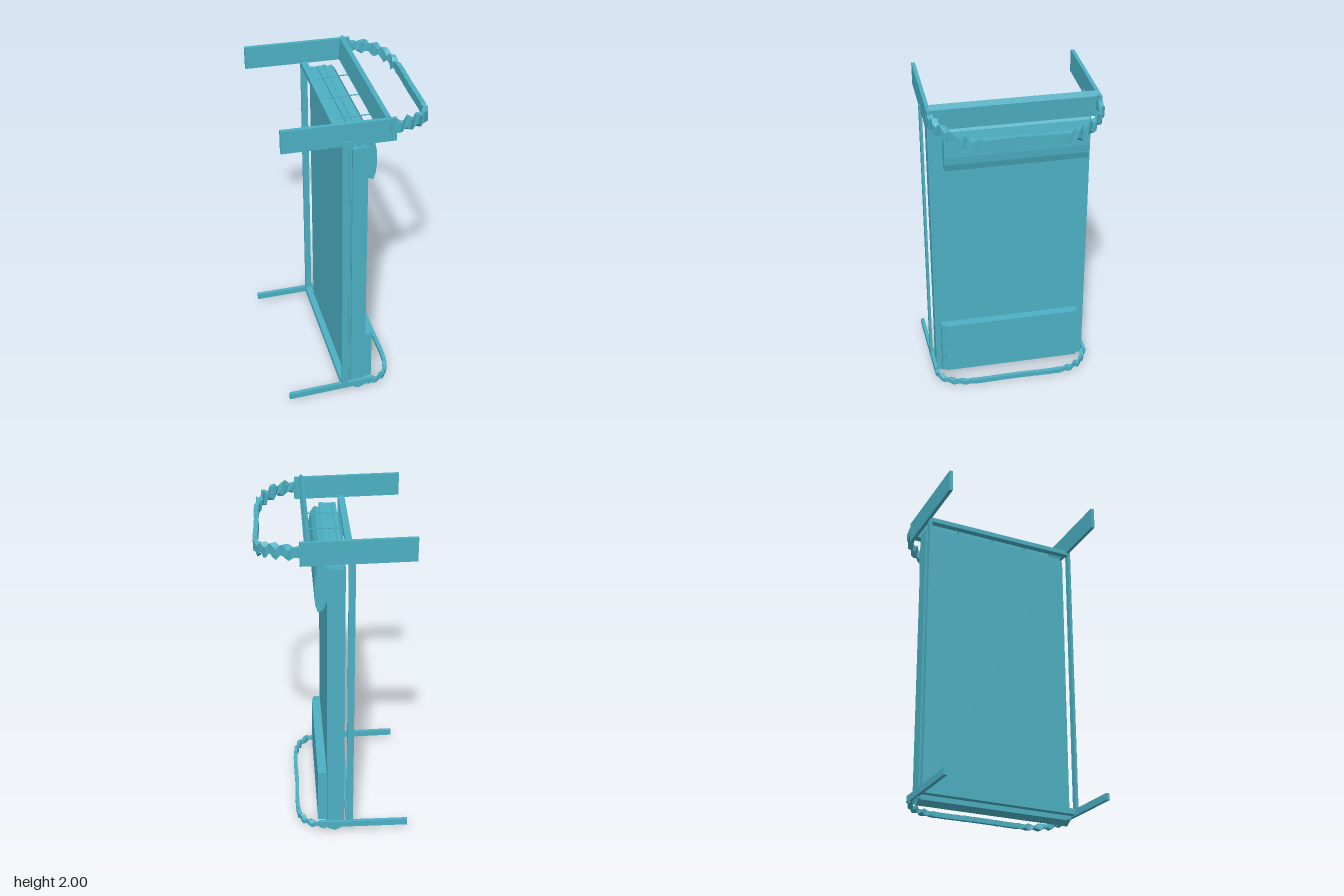
import * as THREE from 'three';

export function createModel() {
  const bed = new THREE.Group();
  bed.name = 'foldedBed';
  const teal = new THREE.MeshStandardMaterial({ color: 0x4cb0c3, flatShading: true, side: THREE.DoubleSide });
  teal.name = 'teal';

  const add = (name, geometry) => {
    const mesh = new THREE.Mesh(geometry, teal);
    mesh.name = name;
    bed.add(mesh);
    return mesh;
  };

  // Box given by its lower and upper limits on each axis
  const box = (name, x0, x1, y0, y1, z0, z1) => {
    const g = new THREE.BoxGeometry(x1 - x0, y1 - y0, z1 - z0);
    g.translate((x0 + x1) / 2, (y0 + y1) / 2, (z0 + z1) / 2);
    return add(name, g);
  };

  // Profile in x and y, extruded along z
  const prism = (name, points, z0, z1) => {
    const shape = new THREE.Shape(points.map(([x, y]) => new THREE.Vector2(x, y)));
    const g = new THREE.ExtrudeGeometry(shape, { depth: z1 - z0, bevelEnabled: false });
    g.translate(0, 0, z0);
    return add(name, g);
  };

  // Flat bar swept along a path, with a crumpled surface in the bends
  const bentBar = (name, points, width, height, crumple) => {
    const curve = new THREE.CatmullRomCurve3(points.map(p => new THREE.Vector3(...p)), false, 'centripetal');
    const n = 56, pos = [], index = [];
    for (let i = 0; i <= n; i++) {
      const p = curve.getPointAt(i / n), t = curve.getTangentAt(i / n);
      const side = new THREE.Vector3(t.z, 0, -t.x).normalize();
      const bend = Math.min(1, 4 * Math.abs(side.x * side.z)) * crumple;
      [[-1, -1], [1, -1], [1, 1], [-1, 1]].forEach(([a, b], k) => {
        const w = a * width / 2 + bend * 0.3 * Math.sin(i * 2.3 + k * 1.7);
        const h = b * height / 2 + bend * Math.sin(i * 1.9 + k * 2.1);
        pos.push(p.x + side.x * w, p.y + h, p.z + side.z * w);
      });
      if (i < n) for (let k = 0; k < 4; k++) {
        const a = i * 4 + k, b = i * 4 + (k + 1) % 4;
        index.push(a, b, a + 4, b, b + 4, a + 4);
      }
    }
    index.push(0, 2, 1, 0, 3, 2, n * 4, n * 4 + 1, n * 4 + 2, n * 4, n * 4 + 2, n * 4 + 3);
    const g = new THREE.BufferGeometry();
    g.setAttribute('position', new THREE.Float32BufferAttribute(pos, 3));
    g.setIndex(index);
    g.computeVertexNormals();
    return add(name, g);
  };

  // Layered mattress panel
  const layers = [
    [-0.055, -0.03, 1.82, -0.49, 0.455], [-0.03, -0.01, 1.81, -0.5, 0.465],
    [-0.01, 0.01, 1.82, -0.49, 0.455], [0.01, 0.03, 1.815, -0.5, 0.465],
    [0.03, 0.05, 1.82, -0.495, 0.46],
  ];
  layers.forEach(([x0, x1, top, z0, z1]) => box('mattressLayer', x0, x1, 0.02, top, z0, z1));
  [-0.504, 0.46].forEach(z => box('mattressEdge', -0.045, 0.045, 0.03, 1.81, z, z + 0.015));

  // Pillow and foot pad
  prism('pillow', [[0.05, 1.6], [0.07, 1.55], [0.1, 1.535], [0.115, 1.58], [0.12, 1.63],
    [0.118, 1.73], [0.105, 1.79], [0.08, 1.825], [0.05, 1.815]], -0.48, 0.39);
  box('footPad', 0.05, 0.105, 0.05, 0.405, -0.45, 0.415);
  box('footPadEdge', 0.05, 0.095, 0.05, 0.41, 0.415, 0.44);

  // Rear frame: two posts and two crossbars
  [-0.505, 0.485].forEach(z => box('framePost', -0.11, -0.07, 0.05, 1.88, z, z + 0.016));
  box('frameTopBar', -0.11, -0.07, 1.83, 1.86, -0.5, 0.485);
  box('frameBottomBar', -0.11, -0.07, 0.045, 0.08, -0.5, 0.485);

  // Thin slats under the upper rail
  [-0.275, -0.03, 0.205].forEach(z => box('slat', -0.1, 0.14, 1.85, 1.856, z - 0.002, z + 0.002));

  // Upper rail: tall arms, crossbar and rounded loop
  const arm = [[-0.45, 1.855], [0.2, 1.84], [0.2, 1.98], [-0.45, 1.995]];
  prism('upperArm', arm, -0.52, -0.498);
  prism('upperArm', arm, 0.47, 0.492);
  prism('upperCrossbar', [[0.13, 1.85], [0.165, 1.84], [0.175, 1.97], [0.16, 2], [0.14, 1.985]], -0.51, 0.48);
  bentBar('upperLoop', [[0.16, 1.92, 0.48], [0.25, 1.92, 0.465], [0.34, 1.91, 0.42], [0.4, 1.89, 0.355],
    [0.43, 1.87, 0.27], [0.435, 1.87, 0], [0.435, 1.87, -0.3], [0.4, 1.89, -0.39],
    [0.34, 1.91, -0.455], [0.26, 1.92, -0.5], [0.16, 1.92, -0.508]], 0.028, 0.06, 0.018);

  // Lower rail: slim arms, crossbar and rounded loop
  box('lowerArm', -0.45, 0.1, 0.04, 0.08, -0.52, -0.498);
  const frontArm = box('lowerArm', -0.275, 0.275, 0.04, 0.08, -0.011, 0.011);
  frontArm.position.set(-0.175, 0, 0.493);
  frontArm.rotation.y = 0.03;
  prism('lowerCrossbar', [[-0.05, 0.03], [0, 0], [0.05, 0.02], [0.05, 0.06], [-0.05, 0.06]], -0.5, 0.48);
  bentBar('lowerLoop', [[0.06, 0.045, 0.485], [0.14, 0.045, 0.47], [0.19, 0.04, 0.42], [0.222, 0.036, 0.32],
    [0.225, 0.036, 0], [0.225, 0.036, -0.33], [0.205, 0.04, -0.41],
    [0.16, 0.045, -0.47], [0.06, 0.05, -0.508]], 0.024, 0.03, 0.01);

  return bed;
}
